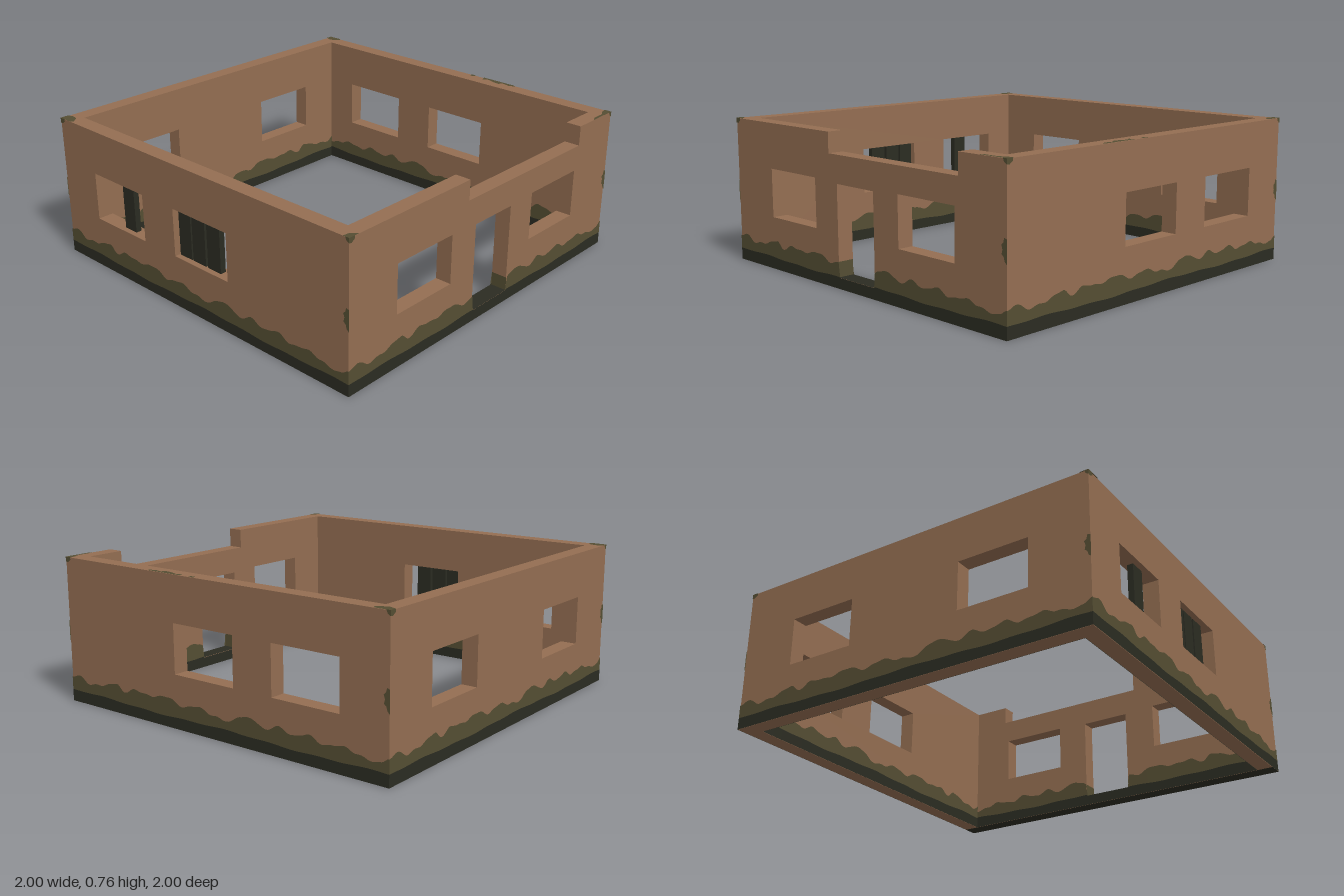
import * as THREE from 'three';

const HEIGHT = 0.755, INNER = 0.915, SKIN = 0.002;
const DOOR = [-0.14, 0.135, 0.055, 0.51];
const NOTCH = [-0.2, 0.71, 0.65];

// Moss height along a wall, from left to right as seen from outside
const MOSS = [[-1, 0.125], [-0.95, 0.145], [-0.87, 0.11], [-0.78, 0.12], [-0.66, 0.15], [-0.61, 0.115],
  [-0.53, 0.143], [-0.42, 0.132], [-0.3, 0.15], [-0.2, 0.118], [-0.1, 0.14], [0, 0.115], [0.1, 0.105],
  [0.17, 0.145], [0.24, 0.15], [0.32, 0.115], [0.4, 0.145], [0.48, 0.12], [0.57, 0.143], [0.65, 0.115],
  [0.76, 0.132], [0.83, 0.115], [0.9, 0.1], [0.96, 0.103], [1, 0.13]];

function mossTop(u) {
  let i = 0;
  while (i < MOSS.length - 2 && u > MOSS[i + 1][0]) i++;
  const [a, ya] = MOSS[i], [b, yb] = MOSS[i + 1];
  const t = (u - a) / (b - a);
  return ya + (yb - ya) * t * t * (3 - 2 * t) + 0.003 * Math.sin(u * 67);
}
const dampTop = u => 0.058 + 0.004 * Math.sin(u * 7 + 1) + 0.002 * Math.sin(u * 23);

function polygon(points, Type = THREE.Shape) {
  return new Type(points.map(([x, y]) => new THREE.Vector2(x, y)));
}
const rectangle = ([x0, x1, y0, y1]) => [[x0, y0], [x0, y1], [x1, y1], [x1, y0]];

// Ragged strip between two height rules
function strip(half, low, high) {
  const n = 200, geometry = new THREE.PlaneGeometry(2 * half, 1, n, 1);
  const p = geometry.attributes.position;
  for (let i = 0; i < p.count; i++) {
    const u = p.getX(i);
    p.setY(i, i <= n ? Math.max(low(u), high(u)) : low(u));
  }
  return geometry;
}

export function createModel() {
  const clay = new THREE.MeshStandardMaterial({ color: 0x946e52 });
  const moss = new THREE.MeshStandardMaterial({ color: 0x554e33, side: THREE.DoubleSide });
  const damp = new THREE.MeshStandardMaterial({ color: 0x2b2c22, side: THREE.DoubleSide });
  clay.name = 'clay';
  moss.name = 'moss';
  damp.name = 'dampDark';
  const model = new THREE.Group();
  model.name = 'ruinedHouse';

  function add(parent, name, geometry, material, x = 0, y = 0, z = 0) {
    const mesh = new THREE.Mesh(geometry, material);
    mesh.name = name;
    mesh.position.set(x, y, z);
    parent.add(mesh);
    return mesh;
  }

  // One wall, its outer face towards local +z
  function wall(name, turn, half, windows, { front = false, back = false } = {}) {
    const group = new THREE.Group();
    group.name = name;
    group.rotation.y = turn;
    model.add(group);

    const top = HEIGHT - SKIN;
    const outline = [[-half, 0], [half, 0], [half, top]];
    if (front) outline.push([NOTCH[1], top], [NOTCH[1], NOTCH[2]], [NOTCH[0], NOTCH[2]], [NOTCH[0], top]);
    outline.push([-half, top]);
    const shape = polygon(outline);
    for (const [a, b] of windows) shape.holes.push(polygon(rectangle([a, b, 0.27, 0.52]), THREE.Path));
    if (front) shape.holes.push(polygon(rectangle(DOOR), THREE.Path));
    const depth = 1 - SKIN - INNER;
    add(group, 'masonry', new THREE.ExtrudeGeometry(shape, { depth, bevelEnabled: false }), clay, 0, 0, INNER);

    // Damp and mossy footing on both faces, interrupted by the door
    const cut = f => u => (front && u > DOOR[0] && u < DOOR[1] ? Math.min(f(u), DOOR[2]) : f(u));
    const insideMoss = u => mossTop(u) - (back ? 0.06 * Math.exp(-((u / 0.08) ** 2)) : 0);
    for (const [side, z, w, rule] of [['outer', 1, 1, mossTop], ['inner', INNER - SKIN, INNER, insideMoss]]) {
      add(group, side + 'DampBand', strip(w, () => 0, cut(dampTop)), damp, 0, 0, z);
      add(group, side + 'MossBand', strip(w, cut(dampTop), cut(rule)), moss, 0, 0, z);
    }

    // Moss at the outer edges
    const patch = (label, points) =>
      add(group, label, new THREE.ShapeGeometry(polygon(points)), moss, 0, 0, 1);
    patch('edgeMoss', [[1, 0.32], [0.988, 0.33], [0.982, 0.35], [0.97, 0.36], [0.975, 0.38], [0.968, 0.4],
      [0.98, 0.41], [0.985, 0.43], [1, 0.425]]);
    patch('topLeftMoss', [[-1, HEIGHT], [-1, 0.73], [-0.985, 0.728], [-0.965, 0.742], [-0.965, HEIGHT]]);
    patch('topRightMoss', [[1, HEIGHT], [1, 0.73], [0.985, 0.738], [0.978, HEIGHT]]);
    return group;
  }

  const HALF = 1 - SKIN;
  const pair = [[-0.69, -0.315], [0.31, 0.685]];
  const front = wall('frontWall', 0, HALF, pair, { front: true });
  wall('backWall', Math.PI, HALF, pair.map(([a, b]) => [-b, -a]), { back: true });
  wall('leftWall', Math.PI / 2, INNER, [[-0.245, 0.13], [0.36, 0.74]]);
  wall('rightWall', -Math.PI / 2, INNER, [[-0.13, 0.245], [-0.74, -0.36]]);

  // Door sill, mossy door jambs and the dark underside of the front wall
  const mid = (1 + INNER) / 2, thick = 1 - INNER;
  const sill = add(front, 'doorSill', new THREE.PlaneGeometry(DOOR[1] - DOOR[0], thick), damp,
    (DOOR[0] + DOOR[1]) / 2, DOOR[2] + 0.001, mid);
  sill.rotation.x = -Math.PI / 2;
  for (const x of [DOOR[0] + 0.001, DOOR[1] - 0.001]) {
    const h = mossTop(x) - DOOR[2];
    const jamb = add(front, 'jambMoss', new THREE.PlaneGeometry(thick, h), moss, x, DOOR[2] + h / 2, mid);
    jamb.rotation.y = Math.PI / 2;
  }
  const underside = add(front, 'frontUnderside', new THREE.PlaneGeometry(2, thick), damp, 0, -0.0005, mid);
  underside.rotation.x = Math.PI / 2;

  // Boards in the windows of the right wall
  for (const [z0, z1] of [[0.075, 0.165], [-0.03, 0.06], [-0.125, -0.04], [-0.555, -0.47]]) {
    add(model, 'windowBoard', new THREE.BoxGeometry(0.03, 0.25, z1 - z0), damp, -0.953, 0.395, (z0 + z1) / 2);
  }

  // Moss on top of the walls, as [x, z] outlines
  const topPatches = [
    [[-1, -1], [-0.955, -1], [-0.945, -0.97], [-0.95, -0.935], [-0.985, -0.905], [-1, -0.92]],
    [[1, -1], [0.965, -1], [0.95, -0.96], [0.965, -0.925], [0.985, -0.905], [1, -0.92]],
    [[-1, 1], [-0.94, 1], [-0.965, 0.97], [-1, 0.965]],
    [[1, 1], [0.83, 1], [0.86, 0.985], [0.93, 0.985], [0.97, 0.965], [1, 0.96]],
    [[1, 0.1], [0.975, 0.11], [0.985, 0.135], [1, 0.13]],
    [[1, 0.19], [0.97, 0.2], [0.985, 0.23], [0.97, 0.27], [0.965, 0.31], [0.985, 0.33], [0.975, 0.37],
      [0.99, 0.41], [1, 0.39]],
  ];
  for (const points of topPatches) {
    const patch = add(model, 'wallTopMoss', new THREE.ShapeGeometry(polygon(points)), moss, 0, HEIGHT, 0);
    patch.rotation.x = Math.PI / 2;
  }
  return model;
}
